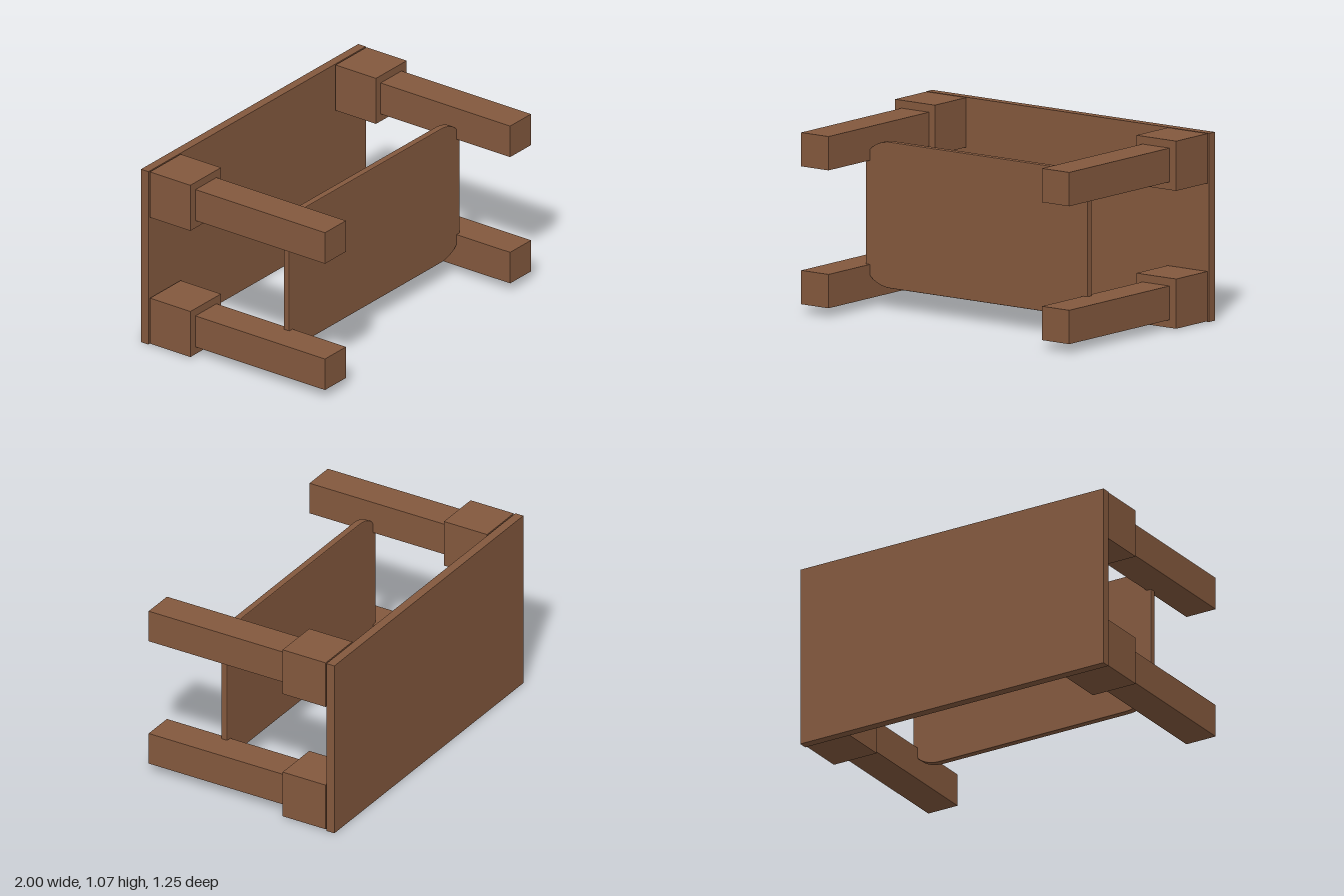
import * as THREE from 'three';

export function createModel() {
  const model = new THREE.Group();
  model.name = 'tableOnItsBack';
  const wood = new THREE.MeshStandardMaterial({ color: 0x83583d });
  wood.name = 'brown wood';

  // Box given by its extents on each axis
  function box(name, [x0, x1], [y0, y1], [z0, z1]) {
    const mesh = new THREE.Mesh(new THREE.BoxGeometry(x1 - x0, y1 - y0, z1 - z0), wood);
    mesh.position.set((x0 + x1) / 2, (y0 + y1) / 2, (z0 + z1) / 2);
    mesh.name = name;
    model.add(mesh);
  }

  // Table top, standing on its long edge
  box('tableTop', [-1, 1], [0, 1.07], [-0.624, -0.572]);

  // Four legs, each with a thicker corner block
  const midY = 0.5375;
  for (const sx of [-1, 1]) {
    for (const sy of [-1, 1]) {
      const corner = (sx > 0 ? 'left' : 'right') + (sy > 0 ? 'Upper' : 'Lower');
      const span = (s, c, a, b) => (s > 0 ? [c + a, c + b] : [c - b, c - a]);
      box(corner + 'Block', span(sx, 0, 0.713, 0.995), span(sy, midY, 0.25, 0.532), [-0.564, -0.282]);
      box(corner + 'Leg', span(sx, 0, 0.755, 0.948), span(sy, midY, 0.295, 0.487), [-0.282, 0.624]);
    }
  }

  // Lower shelf with rounded corners and softly bevelled edges
  const bevel = 0.005, w = 0.785 - bevel, h = 0.415 - bevel, rx = 0.17, ry = 0.12;
  const outline = new THREE.Shape();
  outline.absellipse(w - rx, h - ry, rx, ry, 0, Math.PI / 2);
  outline.absellipse(-w + rx, h - ry, rx, ry, Math.PI / 2, Math.PI);
  outline.absellipse(-w + rx, -h + ry, rx, ry, Math.PI, Math.PI * 1.5);
  outline.absellipse(w - rx, -h + ry, rx, ry, Math.PI * 1.5, Math.PI * 2);
  const shelf = new THREE.Mesh(new THREE.ExtrudeGeometry(outline, {
    depth: 0.03, bevelThickness: bevel, bevelSize: bevel, bevelSegments: 2, curveSegments: 8,
  }), wood);
  shelf.position.set(0, midY, 0.215);
  shelf.name = 'lowerShelf';
  model.add(shelf);

  return model;
}
